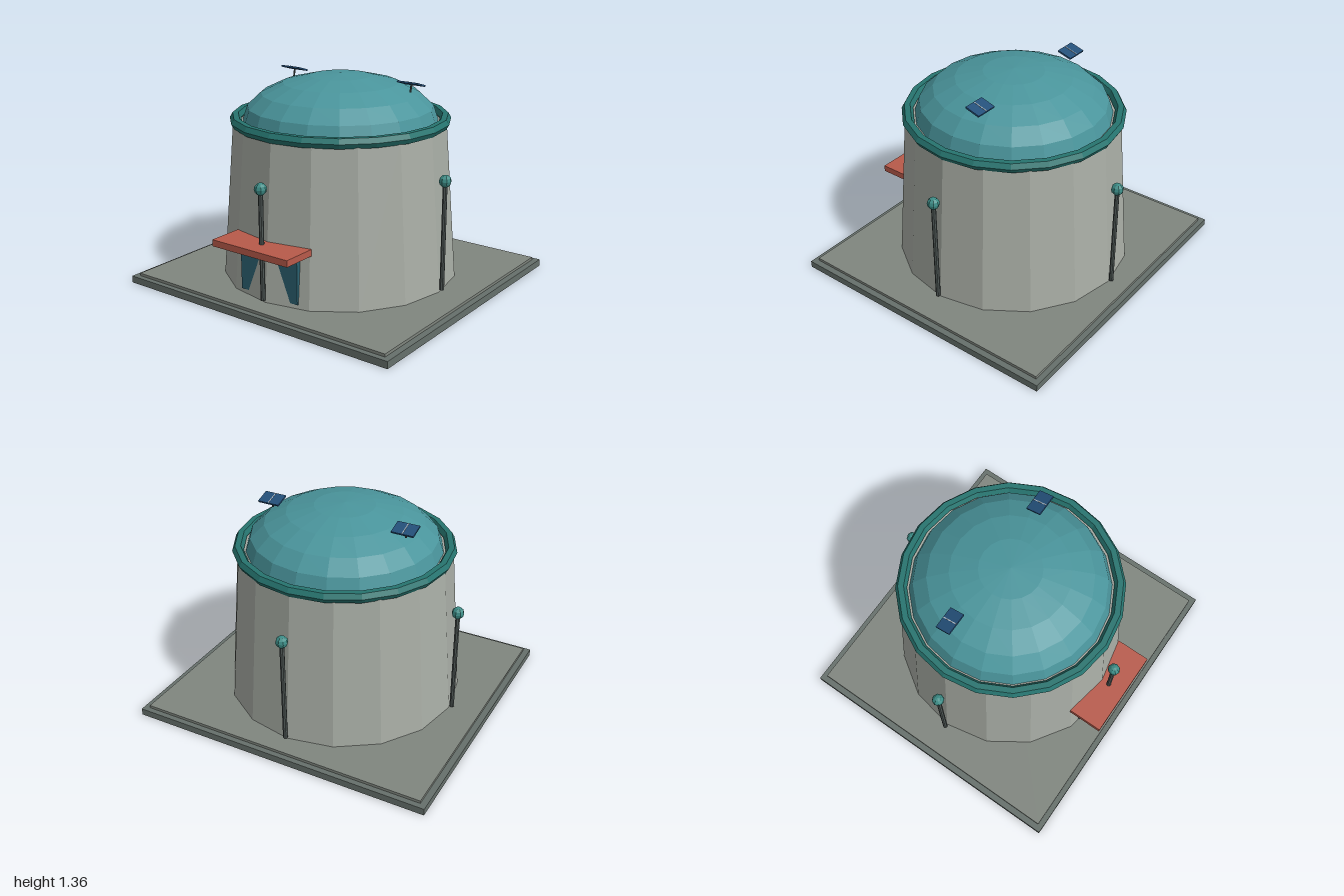
import * as THREE from 'three';

const mat = (color) => new THREE.MeshStandardMaterial({ color, flatShading: true });
const M = {
  plinth: mat(0x66706b), slab: mat(0x80867f), wall: mat(0xa9aea6), dome: mat(0x4a959c),
  rim: mat(0x26746f), post: mat(0x505957), lamp: mat(0x3c8c86), awning: mat(0xb85a4a),
  door: mat(0x2c6272), solar: mat(0x24507a), strip: mat(0xb8c4cc),
};

function add(parent, name, geometry, material, x = 0, y = 0, z = 0) {
  const mesh = new THREE.Mesh(geometry, material);
  mesh.name = name;
  mesh.position.set(x, y, z);
  parent.add(mesh);
  return mesh;
}

// Box given by its width, depth and bottom/top heights
function slab(parent, name, w, d, y0, y1, material, z = 0) {
  return add(parent, name, new THREE.BoxGeometry(w, y1 - y0, d), material, 0, (y0 + y1) / 2, z);
}

// Thin post with a round lamp
function lampPost(parent, x, z) {
  const g = new THREE.Group();
  g.name = 'lampPost';
  g.position.set(x, 0, z);
  add(g, 'post', new THREE.CylinderGeometry(0.015, 0.015, 0.68, 8), M.post, 0, 0.425, 0);
  add(g, 'lamp', new THREE.SphereGeometry(0.039, 8, 6), M.lamp, 0, 0.785, 0);
  parent.add(g);
}

// Tilted solar panel on a short mast
function solarPanel(parent, x) {
  const g = new THREE.Group();
  g.name = 'solarPanel';
  g.position.set(x, 1.322, -0.105);
  const mast = add(g, 'mast', new THREE.CylinderGeometry(0.006, 0.006, 0.06, 6), M.post, 0, -0.025, 0);
  mast.rotation.z = -0.15;
  const tilt = new THREE.Group();
  tilt.name = 'panel';
  tilt.rotation.x = -0.29;
  add(tilt, 'panelPlate', new THREE.BoxGeometry(0.145, 0.011, 0.1), M.solar);
  add(tilt, 'panelStrip', new THREE.BoxGeometry(0.006, 0.003, 0.095), M.strip, 0, 0.006, 0);
  g.add(tilt);
  parent.add(g);
}

export function createModel() {
  const model = new THREE.Group();
  model.name = 'domedBuilding';

  // Stepped base
  slab(model, 'plinth', 2, 1.85, 0, 0.045, M.plinth);
  slab(model, 'floorSlab', 1.92, 1.78, 0.045, 0.063, M.slab);

  // Tapered sixteen-sided wall
  add(model, 'wall', new THREE.CylinderGeometry(0.68, 0.76, 0.997, 16), M.wall, 0, 0.5615, 0);

  // Rim ring and flattened dome
  const rim = add(model, 'rim', new THREE.TorusGeometry(0.667, 0.036, 6, 20), M.rim, 0, 1.07, 0);
  rim.rotation.x = Math.PI / 2;
  const dome = add(model, 'dome',
    new THREE.SphereGeometry(0.62, 20, 5, 0, Math.PI * 2, 0, Math.PI / 2), M.dome, 0, 1.06, 0);
  dome.scale.y = 0.295 / 0.62;

  // Doorway sunk into the wall, with an awning above
  slab(model, 'door', 0.44, 0.06, 0.09, 0.395, M.door, 0.695);
  slab(model, 'awning', 0.58, 0.225, 0.402, 0.444, M.awning, 0.785);

  // Lamp posts on the four sides
  for (const s of [-1, 1]) {
    lampPost(model, s * 0.78, 0);
    lampPost(model, 0, s * 0.78);
    solarPanel(model, s * 0.458);
  }
  return model;
}
